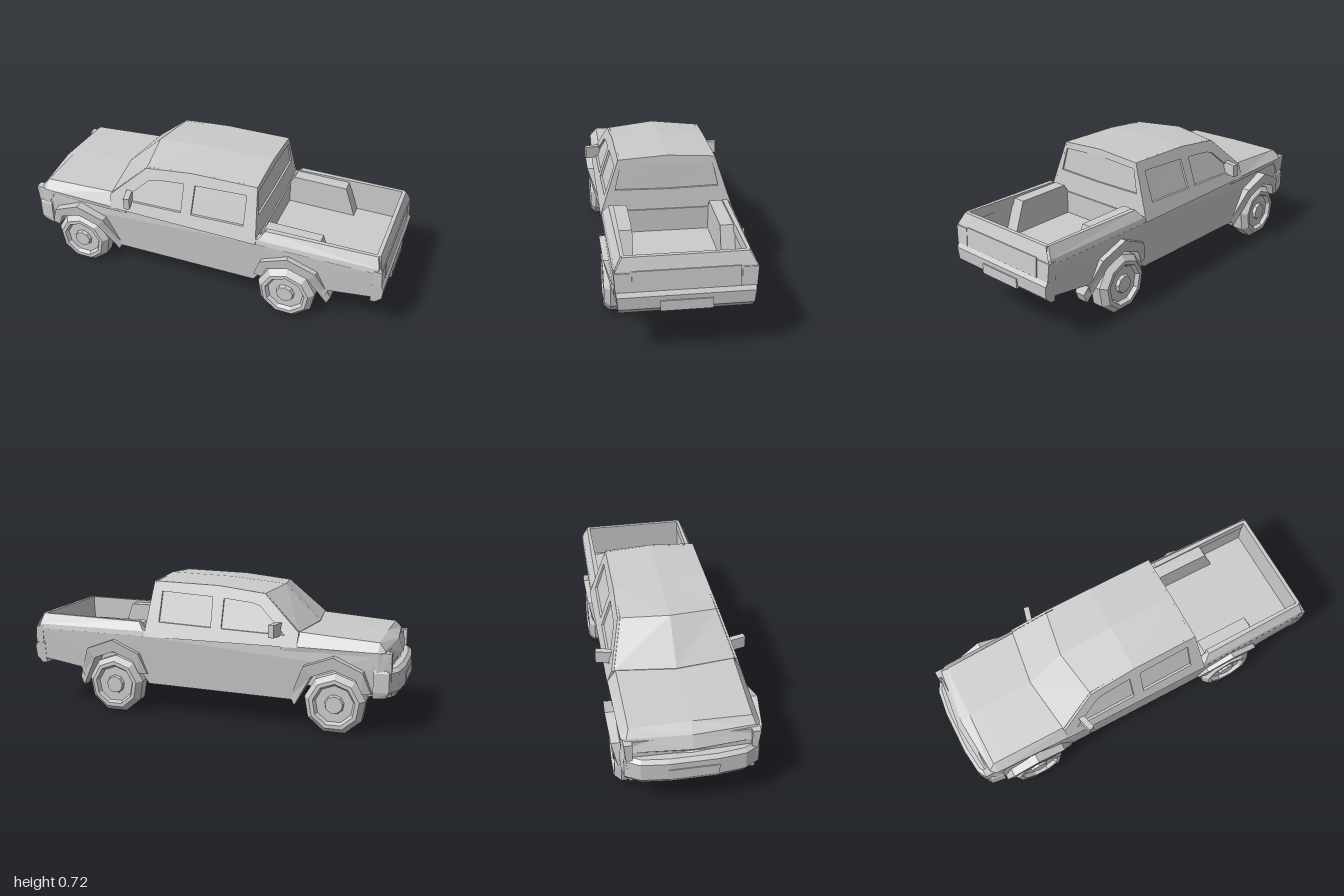
import * as THREE from 'three';

const mat = new THREE.MeshStandardMaterial({ color: 0xcccccc, flatShading: true });
const FRONT = -0.68, REAR = 0.505; // axle positions along x

export function createModel() {
  const truck = new THREE.Group();

  const add = (name, geo, parent = truck) => {
    const g = geo.index ? geo.toNonIndexed() : geo;
    g.computeVertexNormals();
    const mesh = new THREE.Mesh(g, mat);
    mesh.name = name;
    parent.add(mesh);
    return mesh;
  };

  const box = (name, x0, x1, y0, y1, z0, z1) => add(name,
    new THREE.BoxGeometry(x1 - x0, y1 - y0, z1 - z0).translate((x0 + x1) / 2, (y0 + y1) / 2, (z0 + z1) / 2));

  const toShape = (pts, holes = []) => {
    const s = new THREE.Shape(pts.map(p => new THREE.Vector2(...p)));
    holes.forEach(h => s.holes.push(new THREE.Path(h.map(p => new THREE.Vector2(...p)))));
    return s;
  };

  // side profile extruded between two z surfaces given as functions of (x, y)
  const slab = (name, pts, zLow, zHigh, holes) => {
    const geo = new THREE.ExtrudeGeometry(toShape(pts, holes), { depth: 1, bevelEnabled: false });
    const p = geo.attributes.position;
    for (let i = 0; i < p.count; i++) {
      const x = p.getX(i), y = p.getY(i);
      p.setZ(i, p.getZ(i) > 0.5 ? zHigh(x, y) : zLow(x, y));
    }
    return add(name, geo);
  };
  const across = (name, pts, half) => slab(name, pts, (x, y) => -half(x, y), half);
  const bothSides = (name, pts, inner, outer, holes) => {
    slab('left' + name, pts, inner, outer, holes);
    slab('right' + name, pts, (x, y) => -outer(x, y), (x, y) => -inner(x, y), holes);
  };

  // closed skin through rings of equal point count, wound outwards
  const loft = (name, rings) => {
    const tris = [], n = rings[0].length;
    const tri = (a, b, c) => tris.push([a, b, c]);
    for (let r = 0; r < rings.length - 1; r++) {
      for (let i = 0; i < n; i++) {
        const j = (i + 1) % n, A = rings[r], B = rings[r + 1];
        tri(A[i], A[j], B[j]);
        tri(A[i], B[j], B[i]);
      }
    }
    const cap = (ring, flip) => {
      const c = [0, 1, 2].map(k => ring.reduce((s, p) => s + p[k], 0) / n);
      ring.forEach((p, i) => {
        const q = ring[(i + 1) % n];
        flip ? tri(c, q, p) : tri(c, p, q);
      });
    };
    cap(rings[0], true);
    cap(rings[rings.length - 1], false);
    const v = p => new THREE.Vector3(...p);
    const solid = tris.filter(([a, b, c]) => v(b).sub(v(a)).cross(v(c).sub(v(a))).length() > 1e-7);
    const volume = solid.reduce((s, [a, b, c]) => s + v(a).dot(v(b).cross(v(c))), 0);
    const out = solid.flatMap(([a, b, c]) => (volume < 0 ? [a, c, b] : [a, b, c]).flat());
    const geo = new THREE.BufferGeometry();
    geo.setAttribute('position', new THREE.Float32BufferAttribute(out, 3));
    return add(name, geo);
  };

  const flat = z => () => z;
  // body half width: widest at the belt, tapering to sill, rail, nose and tail
  const bodyW = (x, y) => {
    let w = y < 0.42 ? 0.308 + 0.1 * (y - 0.15) : y < 0.445 ? 0.335 - 0.2 * (y - 0.42) : 0.33 - 0.63 * (y - 0.445);
    if (x < -0.85) w -= 0.15 * (-0.85 - x);
    if (x > 0.6) w -= 0.03 * (x - 0.6);
    return w;
  };

  // lower body sides with wheel arches
  const arch = cx => [[-0.145, 0.22], [-0.12, 0.30], [0, 0.345], [0.12, 0.30], [0.2, 0.17]].map(([x, y]) => [cx + x, y]);
  bothSides('BodySide', [[-0.95, 0.2], [-0.84, 0.2], ...arch(FRONT), [-0.47, 0.145], [0.32, 0.16], ...arch(REAR),
    [0.72, 0.22], [0.96, 0.255], [0.96, 0.42], [0.335, 0.42], [-0.95, 0.42]], flat(0.28), bodyW);

  // floor and underbody
  across('underbody', [[-0.93, 0.2], [-0.5, 0.2], [-0.46, 0.15], [0.31, 0.16], [0.36, 0.2], [0.72, 0.22], [0.95, 0.25],
    [0.95, 0.31], [0.33, 0.31], [0.33, 0.42], [-0.93, 0.42]], flat(0.22));
  across('noseFloor', [[-0.93, 0.2], [-0.84, 0.2], [-0.84, 0.42], [-0.93, 0.42]], flat(0.295));
  across('cabFloor', [[-0.468, 0.146], [0.31, 0.16], [0.33, 0.42], [-0.468, 0.42]], flat(0.295));
  across('tailFloor', [[0.72, 0.22], [0.95, 0.253], [0.95, 0.31], [0.72, 0.31]], flat(0.295));

  // hood and nose
  const section = (x, bow, yb, wb, ym, wm, yt, wt) => {
    const half = [[x + bow, yb, wb], [x + bow, ym, wm], [x + bow, yt, wt]];
    return [...half, [x, yt + 0.004, 0], ...half.map(([a, b, c]) => [a, b, -c]).reverse(), [x, yb, 0]];
  };
  loft('hood', [
    section(-0.968, 0.03, 0.32, 0.308, 0.35, 0.308, 0.365, 0.30),
    section(-0.94, 0.025, 0.32, 0.318, 0.412, 0.318, 0.43, 0.303),
    section(-0.885, 0, 0.32, 0.325, 0.42, 0.328, 0.465, 0.29),
    section(-0.84, 0, 0.40, 0.328, 0.42, 0.33, 0.468, 0.29),
    section(-0.50, 0.02, 0.40, 0.333, 0.425, 0.338, 0.493, 0.296),
    section(-0.40, 0, 0.40, 0.333, 0.43, 0.336, 0.495, 0.296),
  ]);

  // front bumper, stacked plan outlines
  const plan = (y, inset) => {
    const half = [[-1, 0.12], [-0.985, 0.25], [-0.945, 0.322], [-0.865, 0.332]]
      .map(([x, z], i) => [i < 3 ? x + inset : x, y, z - inset * 0.4]);
    return [...half, ...half.map(([x, h, z]) => [x, h, -z]).reverse()];
  };
  loft('frontBumper', [plan(0.192, 0.025), plan(0.225, 0.004), plan(0.32, 0.004), plan(0.337, 0.022)]);
  box('frontPlate', -1, -0.98, 0.235, 0.285, -0.12, 0.12);

  // cab core with ridged roof
  const cabZ = (x, y) => 0.34 - 0.338 * (y - 0.42);
  const T = 0.012; // window recess
  const cabRing = (front, side, mid, back, backMid) => {
    const half = [side, mid, back];
    return [front, ...half, backMid, ...half.map(([x, y, z]) => [x, y, -z]).reverse()];
  };
  loft('cab', [
    cabRing([-0.53, 0.42, 0], [-0.49, 0.42, 0.328], [-0.05, 0.42, 0.328], [0.323, 0.42, 0.328], [0.323, 0.42, 0]),
    cabRing([-0.53, 0.498, 0], [-0.49, 0.494, 0.302], [-0.05, 0.494, 0.302], [0.315, 0.494, 0.302], [0.315, 0.494, 0]),
    cabRing([-0.34, 0.683, 0], [-0.3, 0.668, 0.243], [-0.05, 0.695, 0.236], [0.3, 0.702, 0.236], [0.3, 0.717, 0]),
    cabRing([-0.34, 0.683, 0], [-0.34, 0.683, 0], [-0.05, 0.708, 0], [0.3, 0.717, 0], [0.3, 0.717, 0]),
  ]);

  // door frames around recessed side windows
  bothSides('CabSide', [[-0.485, 0.42], [0.335, 0.42], [0.305, 0.702], [-0.05, 0.695], [-0.3, 0.668], [-0.49, 0.492]],
    (x, y) => cabZ(x, y) - T, cabZ, [
      [[-0.42, 0.475], [-0.28, 0.607], [-0.235, 0.62], [-0.085, 0.634], [-0.085, 0.485]],
      [[-0.028, 0.487], [-0.024, 0.638], [0.255, 0.652], [0.258, 0.497]],
    ]);

  // rear cab wall around recessed window
  const rear = new THREE.ExtrudeGeometry(toShape(
    [[-0.338, 0.42], [0.338, 0.42], [0.245, 0.702], [0, 0.717], [-0.245, 0.702]],
    [[[-0.262, 0.548], [-0.233, 0.669], [0, 0.68], [0.233, 0.669], [0.262, 0.548], [0, 0.543]]]),
  { depth: T, bevelEnabled: false }).rotateY(Math.PI / 2);
  const rp = rear.attributes.position;
  for (let i = 0; i < rp.count; i++) rp.setX(i, rp.getX(i) + 0.335 - T - 0.107 * (rp.getY(i) - 0.42));
  add('cabRearWall', rear);

  // cargo bed
  box('bedFloor', 0.32, 0.95, 0.305, 0.32, -0.29, 0.29);
  box('bedFrontWall', 0.31, 0.34, 0.3, 0.44, -0.3, 0.3);
  const rail = y => (x) => bodyW(x, y);
  bothSides('BedRailLower', [[0.335, 0.418], [0.96, 0.418], [0.96, 0.445], [0.33, 0.445]], flat(0.28), bodyW);
  bothSides('BedRailUpper', [[0.33, 0.445], [0.96, 0.445], [0.945, 0.5], [0.375, 0.49], [0.345, 0.45]],
    flat(0.275), (x, y) => Math.max(y > 0.48 ? rail(0.49)(x) : bodyW(x, y), 0.285));
  bothSides('BedWheelWell', [[0.335, 0.31], [0.71, 0.31], [0.65, 0.482], [0.36, 0.482], [0.335, 0.44]], flat(0.21), flat(0.285));

  // tailgate, lamps and rear bumper
  across('tailgate', [[0.935, 0.25], [0.975, 0.255], [0.983, 0.33], [0.975, 0.44], [0.955, 0.5], [0.935, 0.5]], bodyW);
  across('tailgatePanel', [[0.95, 0.342], [0.987, 0.342], [0.98, 0.44], [0.95, 0.44]], flat(0.245));
  bothSides('TailLamp', [[0.94, 0.342], [0.986, 0.342], [0.979, 0.432], [0.94, 0.432]], flat(0.25), (x, y) => bodyW(x, y) + 0.004);
  across('rearBumper', [[0.935, 0.225], [0.96, 0.225], [0.992, 0.258], [0.996, 0.32], [0.983, 0.34], [0.935, 0.34]],
    (x, y) => bodyW(x, y) + 0.002);
  box('rearPlate', 0.98, 1, 0.245, 0.296, -0.12, 0.12);

  // mirrors
  for (const s of [1, -1]) {
    const mirror = add(s > 0 ? 'leftMirror' : 'rightMirror', new THREE.BoxGeometry(0.03, 0.065, 0.085));
    mirror.position.set(-0.375, 0.502, s * 0.338);
    mirror.rotation.y = s * 0.25;
  }

  // per axle: flares, wheels, axle beam and drive housing
  for (const [label, cx, extra] of [['front', FRONT, 0.015], ['rear', REAR, 0]]) {
    const flare = [[-0.18, 0.215], [-0.14, 0.325], [0.005, 0.392], [0.155, 0.335], [0.23, 0.16], [0.21, 0.115],
      [0.115, 0.285], [0.005, 0.328], [-0.105, 0.285], [-0.135, 0.215]].map(([x, y]) => [cx + x, y]);
    bothSides(label === 'front' ? 'FrontFlare' : 'RearFlare', flare, flat(0.235),
      (x, y) => 0.318 + extra + 0.15 * (y - 0.11) - 0.5 * Math.max(0, Math.abs(x - cx) - 0.16));

    across(label + 'DriveHousing', [[-0.13, 0.22], [-0.035, 0.075], [0.235, 0.225]].map(([x, y]) => [cx + x, y]), flat(0.115));
    box(label + 'Axle', cx - 0.025, cx + 0.025, 0.12, 0.17, -0.26, 0.26);

    for (const s of [1, -1]) {
      const profile = [[0, 0.25], [0.145, 0.25], [0.156, 0.262], [0.156, 0.32], [0.128, 0.35], [0.108, 0.35],
        [0.096, 0.33], [0.05, 0.33], [0.044, 0.347], [0, 0.347]].map(p => new THREE.Vector2(...p));
      const wheel = add(label + (s > 0 ? 'LeftWheel' : 'RightWheel'),
        new THREE.LatheGeometry(profile, 9, Math.PI).rotateX(Math.PI / 2));
      wheel.position.set(cx, 0.147, 0);
      if (s < 0) wheel.rotation.y = Math.PI;
    }
  }
  return truck;
}
